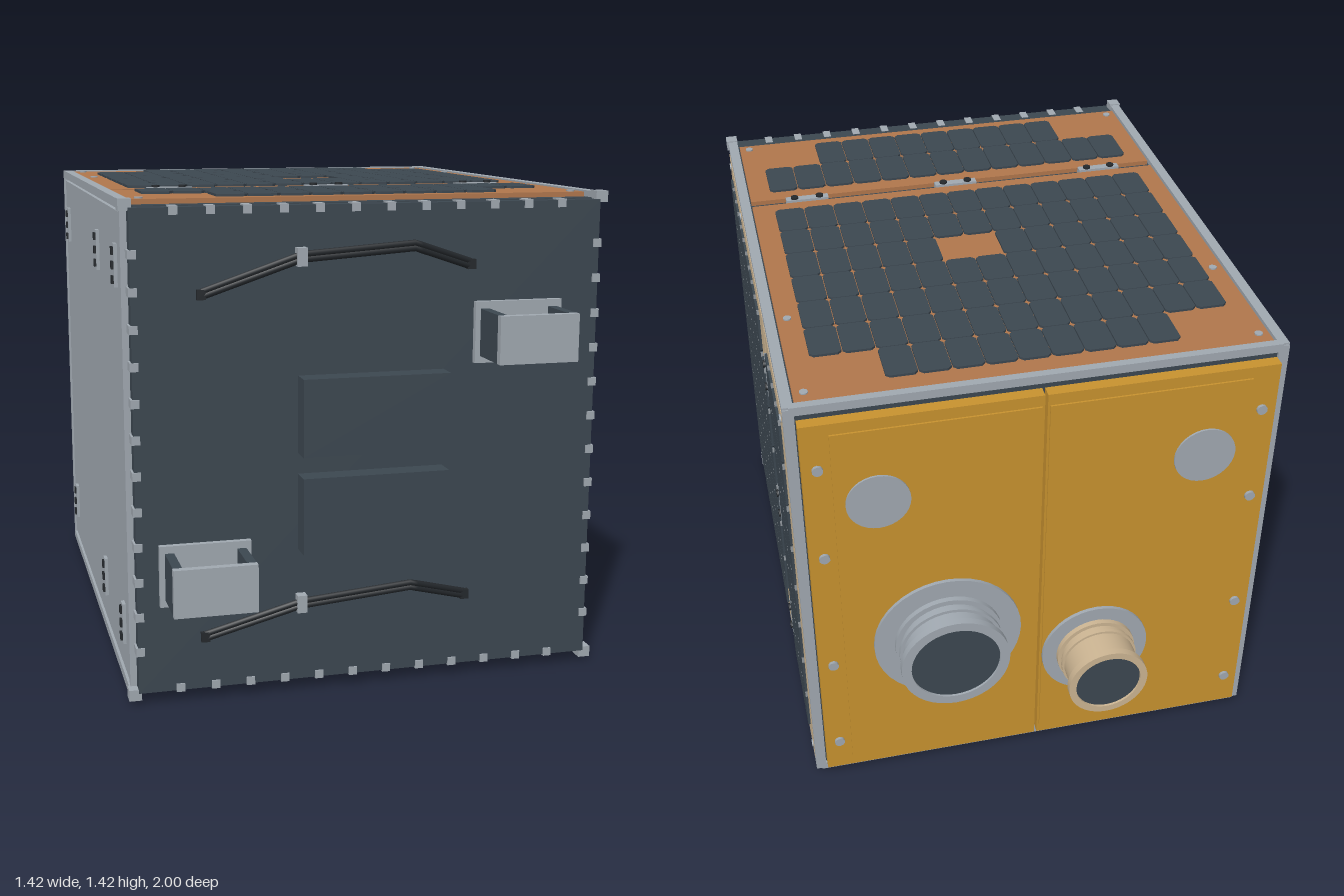
import * as THREE from 'three';

export function createModel() {
  const root = new THREE.Group();
  root.name = 'boxSatellite';
  const mat = (name, color) => {
    const m = new THREE.MeshStandardMaterial({ color });
    m.name = name;
    return m;
  };
  const dark = mat('slate', 0x3c4750);
  const black = mat('black', 0x24282c);
  const grey = mat('aluminium', 0xa0a8b0);
  const copper = mat('copper', 0xb0764c);
  const tan = mat('tan', 0xcbb492);
  const gold = mat('gold', 0xc8922f);

  const add = (parent, name, geo, material, x = 0, y = 0, z = 0) => {
    const m = new THREE.Mesh(geo, material);
    m.name = name;
    m.position.set(x, y, z);
    parent.add(m);
    return m;
  };
  // Box given by its limits on each axis
  const box = (parent, name, material, x0, x1, y0, y1, z0, z1) =>
    add(parent, name, new THREE.BoxGeometry(x1 - x0, y1 - y0, z1 - z0), material,
      (x0 + x1) / 2, (y0 + y1) / 2, (z0 + z1) / 2);
  const V = (x, y, z) => new THREE.Vector3(x, y, z);
  const MID = 0.715;

  // Core and front panel
  box(root, 'core', dark, -0.672, 0.672, 0.032, 1.398, -0.795, 0.79);
  box(root, 'frontPanel', dark, -0.675, 0.675, 0.035, 1.395, 0.785, 0.828);

  // Edge rails
  for (const sx of [-1, 1]) {
    for (const y of [0.027, 1.403]) {
      add(root, 'sideRail', new THREE.BoxGeometry(0.03, 0.026, 1.59), grey, sx * 0.682, y, -0.005);
      add(root, 'cornerClip', new THREE.BoxGeometry(0.036, 0.032, 0.04), grey, sx * 0.684, y, 0.8);
    }
    add(root, 'rearPost', new THREE.BoxGeometry(0.03, 1.39, 0.024), grey, sx * 0.682, MID, -0.792);
    add(root, 'frontPost', new THREE.BoxGeometry(0.024, 1.39, 0.016), grey, sx * 0.682, MID, 0.779);
  }
  for (const y of [0.027, 1.403])
    add(root, 'rearRail', new THREE.BoxGeometry(1.36, 0.026, 0.024), grey, 0, y, -0.792);

  // Clips around the front panel
  for (let i = 0; i < 12; i++) {
    const t = (i - 5.5) * 0.1012;
    for (const s of [-1, 1]) {
      add(root, 'edgeClip', new THREE.BoxGeometry(0.024, 0.024, 0.045), grey, t, MID + s * 0.672, 0.81);
      add(root, 'edgeClip', new THREE.BoxGeometry(0.024, 0.024, 0.045), grey, s * 0.669, MID + t, 0.81);
    }
  }

  // Solar faces: a runs along the hinge gap, b across it, n points outward
  const block = (shapes, gap, a0, a1, na, b0, b1, nb, skip = () => false) => {
    const da = (a1 - a0) / na, db = (b1 - b0) / nb, c = 0.011;
    for (let i = 0; i < na; i++) for (let j = 0; j < nb; j++) {
      if (skip(i, j)) continue;
      const l = a0 + i * da + gap, r = a0 + (i + 1) * da - gap;
      const d = b0 + j * db + gap, u = b0 + (j + 1) * db - gap;
      shapes.push(new THREE.Shape([[l + c, d], [r - c, d], [r, d + c], [r, u - c],
        [r - c, u], [l + c, u], [l, u - c], [l, d + c]].map(p => new THREE.Vector2(...p))));
    }
  };
  const stud = new THREE.CylinderGeometry(0.012, 0.012, 0.008, 10).rotateX(Math.PI / 2);
  const solarFace = (name, material, origin, a, b, n, w, bMin, bMax, fill) => {
    const g = new THREE.Group();
    g.name = name;
    g.applyMatrix4(new THREE.Matrix4().makeBasis(a, b, n).setPosition(origin));
    root.add(g);
    const gap = -0.325;
    box(g, 'mainPanel', material, -w, w, gap + 0.016, bMax, -0.025, 0);
    box(g, 'narrowPanel', material, -w, w, bMin, gap - 0.016, -0.025, 0);
    const shapes = [];
    fill(shapes);
    add(g, 'solarCells', new THREE.ExtrudeGeometry(shapes, { depth: 0.007, bevelEnabled: false }), dark);
    for (const t of [-0.485, 0, 0.485]) {
      add(g, 'hingePlate', new THREE.BoxGeometry(0.135, 0.026, 0.024), grey, t, gap, -0.006);
      for (const s of [-0.04, 0.04]) add(g, 'hingePin', stud, black, t + s, gap, 0.008);
    }
    for (const s of [-1, 1]) for (const t of [bMin + 0.03, 0.37, bMax - 0.04])
      add(g, 'panelBolt', stud, grey, s * (w - 0.03), t, 0);
  };
  const X = V(1, 0, 0), Y = V(0, 1, 0), Z = V(0, 0, 1);
  solarFace('topSolarFace', copper, V(0, 1.412, 0), X, V(0, 0, -1), Y, 0.662, -0.745, 0.775, s => {
    block(s, 0.0015, -0.415, 0.412, 9, 0.58, 0.72, 1);
    block(s, 0.0015, -0.6, 0.597, 13, -0.26, 0.58, 6, (i, j) => j === 2 && (i === 6 || i === 7));
    block(s, 0.0015, -0.6, 0.597, 13, -0.55, -0.39, 1);
    block(s, 0.0015, -0.415, 0.412, 9, -0.705, -0.55, 1);
  });
  const sideCells = s => {
    block(s, 0.0015, -0.595, 0.6, 8, -0.16, 0.72, 10);
    block(s, 0.0015, -0.446, 0.451, 6, -0.25, -0.16, 1);
    block(s, 0.0015, -0.595, 0.6, 8, -0.72, -0.37, 4);
  };
  solarFace('sideSolarFace', tan, V(0.698, MID, 0), Y, Z, X, 0.665, -0.78, 0.768, sideCells);
  solarFace('bottomSolarFace', copper, V(0, 0.012, 0), X, Z, V(0, -1, 0), 0.662, -0.775, 0.765, sideCells);

  // Plain side panel with hinges
  box(root, 'plainSidePanel', grey, -0.692, -0.665, 0.05, 1.38, -0.772, 0.765);
  for (const z of [-0.64, 0.26, 0.69]) for (const y of [0.2, 1.23]) {
    add(root, 'sideHinge', new THREE.BoxGeometry(0.012, 0.12, 0.035), grey, -0.696, y, z);
    for (const d of [-0.04, 0, 0.04])
      add(root, 'sideHingePin', new THREE.BoxGeometry(0.012, 0.022, 0.022), black, -0.702, y + d, z);
  }

  // Gold rear doors with raised centres
  for (const s of [-1, 1]) {
    add(root, 'rearDoor', new THREE.BoxGeometry(0.66, 1.32, 0.035), gold, s * 0.334, MID, -0.82);
    add(root, 'rearDoorCentre', new THREE.BoxGeometry(0.575, 1.25, 0.008), gold, s * 0.298, MID, -0.839);
    const disc = add(root, 'rearDisc', new THREE.CylinderGeometry(0.09, 0.09, 0.008, 32), grey, s * 0.465, 1.1, -0.845);
    disc.rotation.x = Math.PI / 2;
    for (const y of [0.17, 0.5, 0.92, 1.23]) add(root, 'rearBolt', stud, grey, s * 0.622, y, -0.841).scale.set(1.3, 1.3, 1.3);
  }

  // Ringed nozzles: profile points are radius and depth behind the door
  const nozzle = (name, material, x, y, r, len, flange) => {
    const g = new THREE.Group();
    g.name = name;
    g.position.set(x, y, -0.84);
    g.rotation.x = -Math.PI / 2;
    root.add(g);
    add(g, 'nozzleFlange', new THREE.CylinderGeometry(flange, flange, 0.014, 40), grey, 0, 0.007, 0);
    const n = r * 0.9, e = len;
    const pts = [[r, 0.012], [r, 0.03], [n, 0.03], [n, 0.05], [r * 0.96, 0.05], [r * 0.96, 0.062],
      [n, 0.062], [n, e - 0.022], [r, e - 0.022], [r, e], [r * 0.82, e], [r * 0.82, e - 0.02]];
    // Each straight run is its own strip, so the rings keep sharp edges
    for (let i = 0; i + 1 < pts.length; i++)
      add(g, 'nozzleRing', new THREE.LatheGeometry([pts[i], pts[i + 1]].map(p => new THREE.Vector2(...p)), 40), material);
    add(g, 'nozzleOpening', new THREE.CylinderGeometry(r * 0.83, r * 0.83, 0.01, 40), dark, 0, e - 0.012, 0);
  };
  nozzle('largeNozzle', grey, 0.28, 0.555, 0.16, 0.126, 0.22);
  nozzle('smallNozzle', tan, -0.175, 0.405, 0.121, 0.16, 0.165);

  // Front equipment boxes
  for (const y of [0.535, 0.815])
    add(root, 'equipmentBox', new THREE.BoxGeometry(0.425, 0.22, 0.07), dark, -0.002, y, 0.858);

  // Front brackets: wall plate, two arms and end plate
  for (const [x, y] of [[0.428, 1.028], [-0.483, 0.378]]) {
    add(root, 'bracketBase', new THREE.BoxGeometry(0.26, 0.176, 0.018), grey, x, y, 0.837);
    for (const s of [-1, 1])
      add(root, 'bracketArm', new THREE.BoxGeometry(0.026, 0.135, 0.135), dark, x + s * 0.102, y, 0.911);
    add(root, 'bracketEnd', new THREE.BoxGeometry(0.232, 0.135, 0.022), grey, x, y, 0.989);
  }

  // Bent twin-rod handles with a clamp
  const bends = [[-0.485, 0.19, 0.832], [-0.225, 0.293, 0.912], [0.1, 0.314, 0.893], [0.285, 0.252, 0.832]];
  for (const lift of [0, 0.97]) {
    for (const d of [-0.007, 0.007]) {
      const path = new THREE.CurvePath();
      const p = bends.map(([x, y, z]) => V(x, y + lift + d, z));
      for (let i = 0; i < 3; i++) path.add(new THREE.LineCurve3(p[i], p[i + 1]));
      add(root, 'handleRod', new THREE.TubeGeometry(path, 36, 0.009, 8), black);
    }
    add(root, 'handleClamp', new THREE.BoxGeometry(0.028, 0.05, 0.03), grey, -0.225, 0.293 + lift, 0.908);
    for (const i of [0, 3])
      add(root, 'handleFoot', new THREE.BoxGeometry(0.025, 0.028, 0.02), black, bends[i][0], bends[i][1] + lift, 0.833);
  }
  return root;
}
